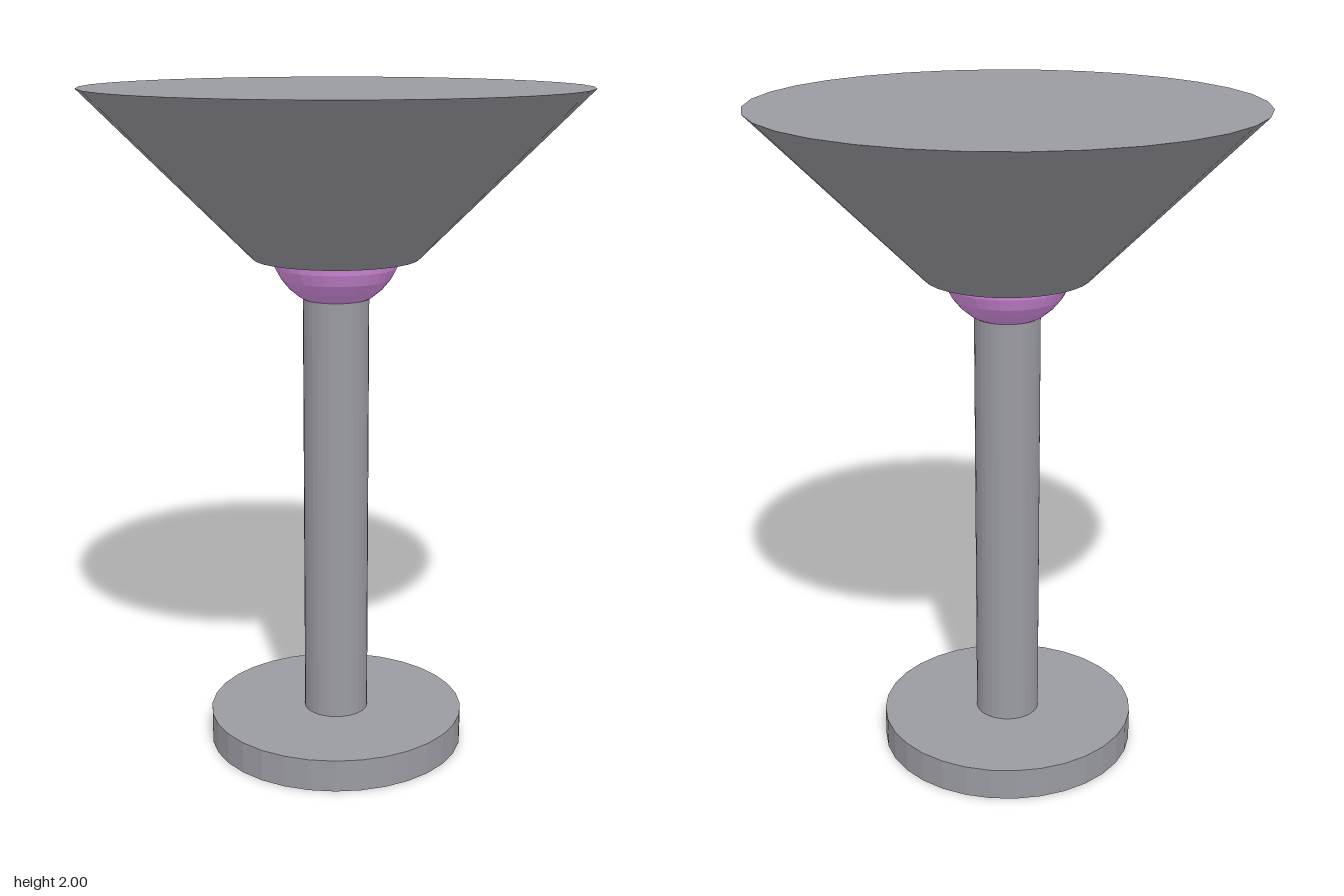
import * as THREE from 'three';

const U = 2 / 41; // proportional unit: the model is 41 units tall
const SIDES = 32;

export function createModel() {
  const group = new THREE.Group();
  const slate = new THREE.MeshStandardMaterial({ color: 0x9a9aa2, flatShading: true });
  const violet = new THREE.MeshStandardMaterial({ color: 0xdf93ea, flatShading: true });

  const add = (name, geometry, material, y) => {
    const mesh = new THREE.Mesh(geometry, material);
    mesh.name = name;
    mesh.position.y = y;
    group.add(mesh);
  };

  // Capped round part spanning y0..y1, all in units
  const round = (name, rTop, rBottom, y0, y1) =>
    add(name, new THREE.CylinderGeometry(rTop * U, rBottom * U, (y1 - y0) * U, SIDES), slate, (y0 + y1) / 2 * U);

  round('base', 8, 8, 0, 2);
  round('stem', 2, 2, 2, 32);
  round('flaredTop', 15, 5, 31, 41);

  // Ball joint, half sunk into the flared top
  add('ball', new THREE.SphereGeometry(4 * U, SIDES, 16), violet, 32 * U);

  return group;
}
